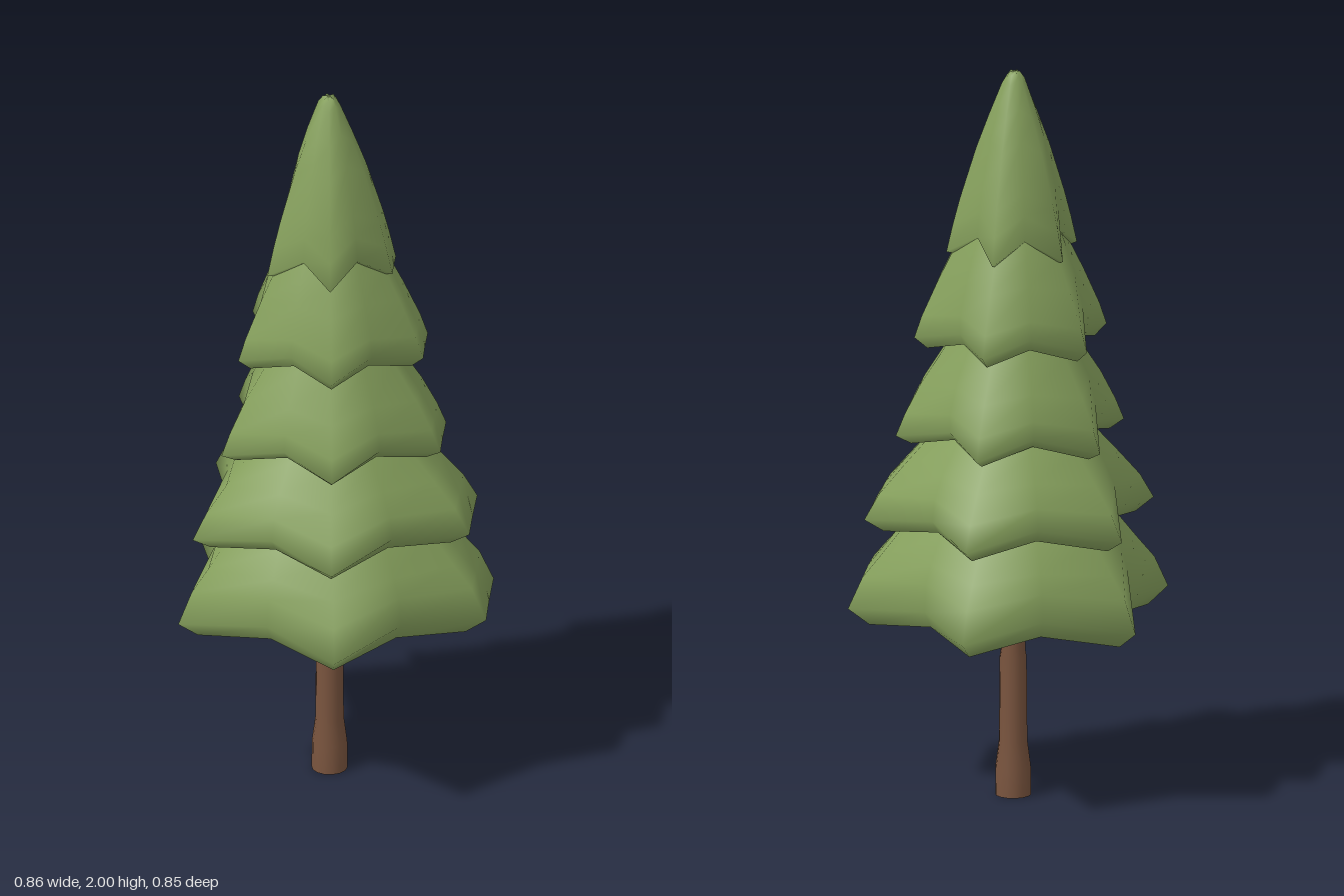
import * as THREE from 'three';
import { mergeGeometries } from 'three/addons/utils/BufferGeometryUtils.js';

const CX = -0.025, CZ = 0.008;

// Star outline of the lowest tier, relative to the trunk axis: [x, z, valley]
const STAR = [
  [-0.01, -0.433, 0], [0.155, -0.272, 1], [0.40, -0.193, 0], [0.427, -0.06, 0],
  [0.452, 0.05, 0], [0.265, 0.212, 1], [0.14, 0.415, 0], [-0.075, 0.322, 1],
  [-0.325, 0.308, 0], [-0.305, 0.052, 1], [-0.405, -0.173, 0], [-0.175, -0.263, 1],
];
const N = STAR.length;

// Ring of points: radius, height, roundness (0 star, 1 circle), valley lift, valley widening
function ring({ r, y, round = 0, lift = 0, widen = 1 }) {
  return STAR.map(([x, z, valley]) => {
    const k = r * (1 + (0.385 / Math.hypot(x, z) - 1) * round) * (valley ? widen : 1);
    return [x * k, y + valley * lift, z * k];
  });
}

// Smooth band of quads through a list of rings, running from the underside to the top
function band(rows) {
  const index = [];
  for (let i = 0; i < rows.length - 1; i++) {
    for (let j = 0; j < N; j++) {
      const a = i * N + j, b = i * N + (j + 1) % N, c = b + N, d = a + N;
      index.push(a, d, b, b, d, c);
    }
  }
  const g = new THREE.BufferGeometry();
  g.setAttribute('position', new THREE.Float32BufferAttribute(rows.flatMap(ring).flat(), 3));
  g.setIndex(index);
  g.computeVertexNormals();
  return g;
}

// Tiers: width and depth scale, lip drop, valley lift, profile of [relative radius, height]
const TIERS = [
  { sx: 1, sz: 1, drop: 0.045, lift: 0.035, profile: [[1, 0.525], [0.94, 0.61], [0.85, 0.67], [0.72, 0.75], [0.5, 0.86]] },
  { sx: 0.895, sz: 0.94, drop: 0.033, lift: 0.035, profile: [[1, 0.772], [0.93, 0.84], [0.8, 0.91], [0.63, 0.99], [0.46, 1.07]] },
  { sx: 0.71, sz: 0.725, drop: 0.022, lift: 0.04, profile: [[1, 1], [0.95, 1.06], [0.84, 1.14], [0.64, 1.24], [0.5, 1.33]] },
  { sx: 0.6, sz: 0.605, drop: 0.03, lift: 0.035, profile: [[1, 1.27], [0.95, 1.33], [0.8, 1.43], [0.66, 1.51], [0.55, 1.57]] },
  { sx: 0.405, sz: 0.42, drop: 0.006, lift: 0.058, profile: [[1, 1.505], [0.92, 1.58], [0.83, 1.65], [0.59, 1.79], [0.4, 1.88], [0.2, 1.965], [0.11, 1.99], [0.001, 2]] },
];

function makeTier({ sx, sz, drop, lift, profile }) {
  const last = profile.length - 1;
  const rim = profile[0][1];
  const skin = profile.map(([r, y], i) =>
    ({ r, y, round: 0.85 * i / last, lift: lift * (1 - i / last) }));
  const lip = { r: 0.87, y: rim - drop, lift, widen: 1.07 };
  const hollow = [
    { r: 0.02, y: rim + 0.08, round: 0.5 },
    { r: 0.55, y: rim + 0.05, round: 0.2, lift: lift * 0.5 },
    lip,
  ];
  return mergeGeometries([band([lip, ...skin]), band(hollow)]).scale(sx, 1, sz);
}

export function createModel() {
  const leafGreen = new THREE.MeshStandardMaterial({ color: 0x859f5c });
  leafGreen.name = 'leafGreen';
  const barkBrown = new THREE.MeshStandardMaterial({ color: 0x79543e });
  barkBrown.name = 'barkBrown';

  const tree = new THREE.Group();
  tree.name = 'pineTree';

  // Trunk with a flared foot
  const trunkProfile = [[0.048, 0], [0.047, 0.08], [0.038, 0.15], [0.036, 0.38], [0.033, 0.4], [0.033, 0.62]]
    .map(([r, y]) => new THREE.Vector2(r, y));
  const trunk = new THREE.Mesh(new THREE.LatheGeometry(trunkProfile, 14), barkBrown);
  trunk.name = 'trunk';
  const foot = new THREE.Mesh(new THREE.CircleGeometry(0.048, 14), barkBrown);
  foot.name = 'trunkBase';
  foot.rotation.x = Math.PI / 2;
  for (const part of [trunk, foot]) {
    part.position.set(CX + 0.003, 0, CZ + 0.002);
    tree.add(part);
  }

  // Stacked star-shaped foliage tiers
  TIERS.forEach((tier, i) => {
    const mesh = new THREE.Mesh(makeTier(tier), leafGreen);
    mesh.name = `foliageTier${i + 1}`;
    mesh.position.set(CX, 0, CZ);
    tree.add(mesh);
  });

  return tree;
}
